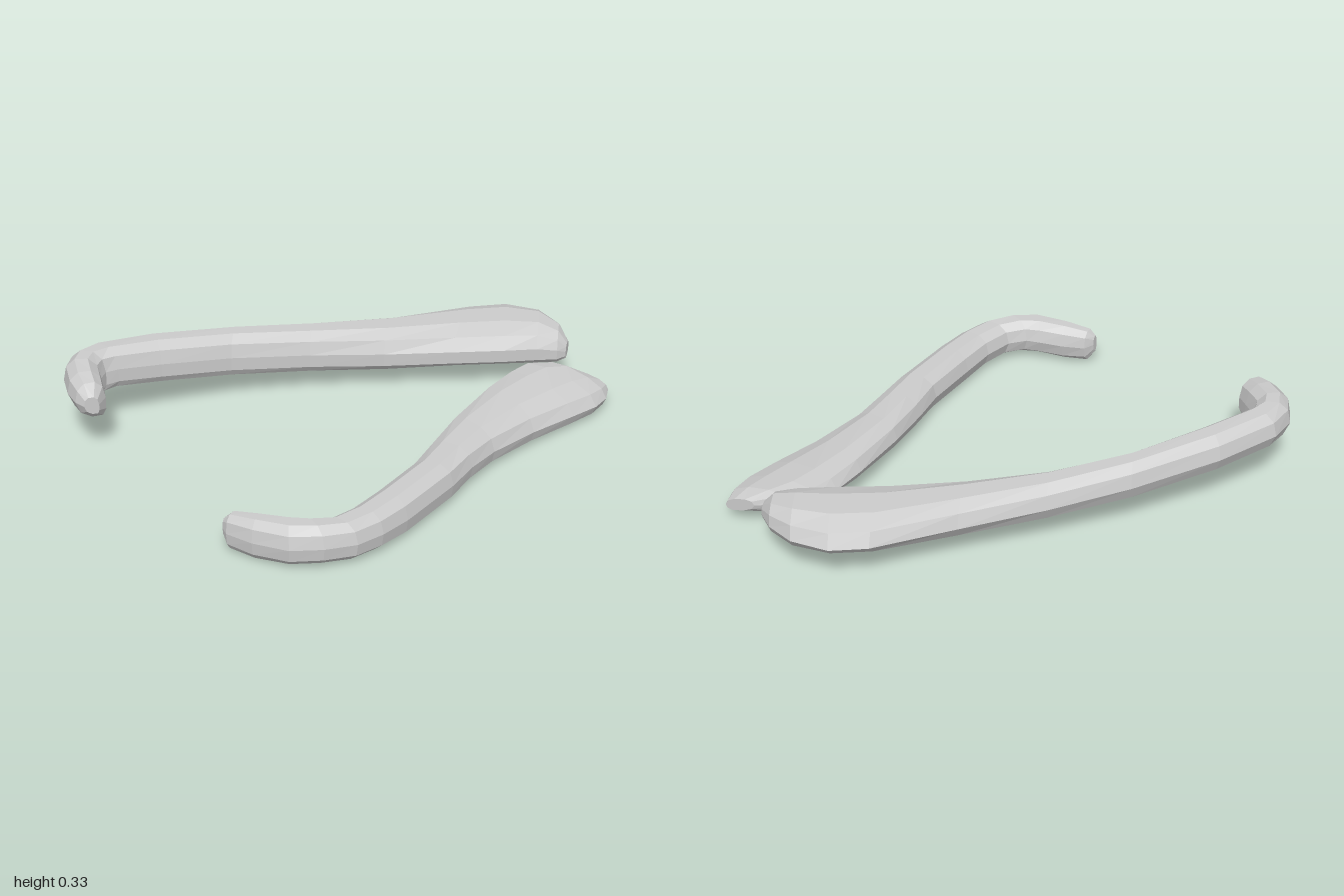
import * as THREE from 'three';

const SIDES = 10;

// Lofts rings along a bone. Section: [edge A x, z, edge B x, z, bottom y, top y, tilt]
// skew pulls the underside towards edge B.
function loftBone(sections, skew) {
  const pos = [];
  const idx = [];
  const soft = (v) => Math.sign(v) * Math.pow(Math.abs(v), 0.88);
  for (const [ax, az, bx, bz, y0, y1, tilt = 0] of sections) {
    for (let j = 0; j < SIDES; j++) {
      const t = (j / SIDES) * Math.PI * 2;
      const s = Math.sin(t);
      let u = soft(Math.cos(t));
      if (s < 0) u -= skew * s * s;
      pos.push(
        (ax + bx) / 2 + ((ax - bx) / 2) * u,
        (y0 + y1) / 2 + ((y1 - y0) / 2) * soft(s) * 1.03 + tilt * u,
        (az + bz) / 2 + ((az - bz) / 2) * u
      );
    }
  }
  const last = sections.length - 1;
  for (let i = 0; i < last; i++) {
    for (let j = 0; j < SIDES; j++) {
      const a = i * SIDES + j;
      const b = i * SIDES + ((j + 1) % SIDES);
      idx.push(a, b, a + SIDES, b, b + SIDES, a + SIDES);
    }
  }
  // end caps
  for (let j = 1; j < SIDES - 1; j++) {
    const e = last * SIDES;
    idx.push(0, j + 1, j, e, e + j, e + j + 1);
  }
  const geo = new THREE.BufferGeometry();
  geo.setAttribute('position', new THREE.Float32BufferAttribute(pos, 3));
  geo.setIndex(idx);
  const flat = geo.toNonIndexed();
  flat.computeVertexNormals();
  return flat;
}

export function createModel() {
  const group = new THREE.Group();
  const bone = new THREE.MeshStandardMaterial({ color: 0xcccccc });
  bone.name = 'pale grey';

  // Rear bone: hooked knob on the right, broad paddle on the left
  const rear = [
    [-0.975, -0.37, -0.92, -0.36, 0.2, 0.27],
    [-0.995, -0.41, -0.88, -0.4, 0.165, 0.31],
    [-1, -0.48, -0.865, -0.46, 0.16, 0.325],
    [-0.98, -0.58, -0.85, -0.53, 0.16, 0.333],
    [-0.93, -0.65, -0.82, -0.56, 0.165, 0.333],
    [-0.83, -0.7, -0.77, -0.56, 0.17, 0.33],
    [-0.58, -0.71, -0.6, -0.555, 0.15, 0.315],
    [-0.23, -0.67, -0.32, -0.535, 0.12, 0.285],
    [0.08, -0.61, -0.02, -0.46, 0.1, 0.26],
    [0.4, -0.545, 0.25, -0.355, 0.09, 0.25],
    [0.72, -0.5, 0.5, -0.245, 0.095, 0.252],
    [0.85, -0.45, 0.68, -0.16, 0.1, 0.258],
    [0.94, -0.34, 0.8, -0.11, 0.105, 0.258],
    [0.965, -0.22, 0.87, -0.075, 0.115, 0.235],
    [0.95, -0.12, 0.91, -0.075, 0.13, 0.19],
  ];

  // Front bone: thin hook on the right, broad pointed paddle on the left
  const front = [
    [-0.73, 0.39, -0.755, 0.405, 0.06, 0.13],
    [-0.69, 0.395, -0.755, 0.435, 0.02, 0.155],
    [-0.62, 0.45, -0.7, 0.53, 0.012, 0.165],
    [-0.55, 0.51, -0.61, 0.64, 0.02, 0.172],
    [-0.51, 0.545, -0.5, 0.69, 0.025, 0.172],
    [-0.44, 0.57, -0.38, 0.705, 0.02, 0.165],
    [-0.33, 0.54, -0.27, 0.68, 0.015, 0.163],
    [-0.2, 0.475, -0.15, 0.63, 0.005, 0.163],
    [0, 0.365, 0.1, 0.5, 0.006, 0.163],
    [0.12, 0.27, 0.22, 0.425, 0.015, 0.163],
    [0.28, 0.15, 0.35, 0.355, 0.02, 0.163, 0.01],
    [0.5, 0.01, 0.56, 0.285, 0.025, 0.163, 0.02],
    [0.63, -0.06, 0.76, 0.24, 0.028, 0.16, 0.025],
    [0.72, -0.09, 0.88, 0.21, 0.035, 0.155, 0.03],
    [0.82, -0.06, 0.95, 0.17, 0.045, 0.143, 0.03],
    [0.92, 0.02, 0.99, 0.12, 0.06, 0.11, 0.015],
  ];

  const parts = [['rearBone', rear, 0.45], ['frontBone', front, 0.2]];
  for (const [name, sections, skew] of parts) {
    const mesh = new THREE.Mesh(loftBone(sections, skew), bone);
    mesh.name = name;
    group.add(mesh);
  }
  return group;
}
